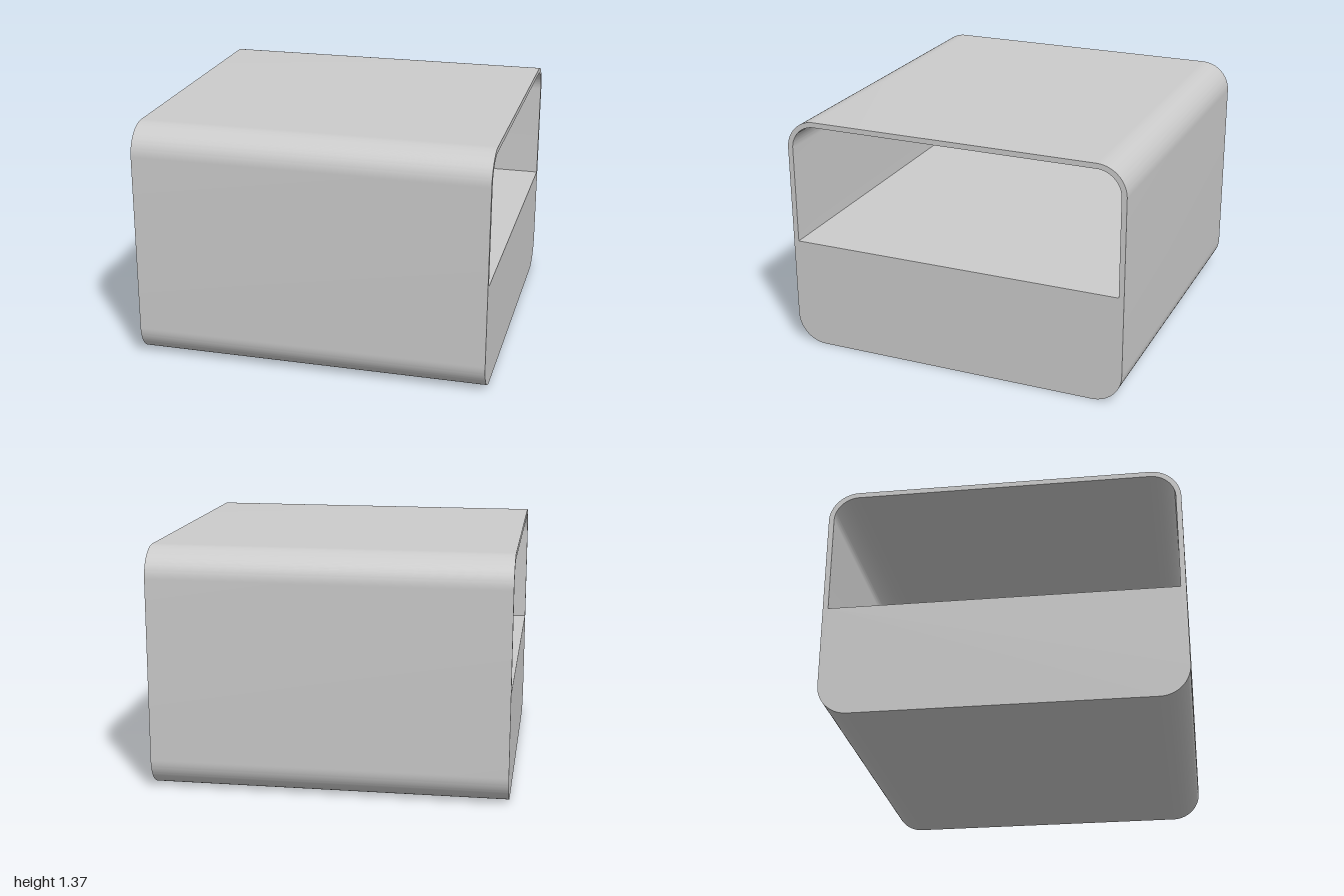
import * as THREE from 'three';
import { toCreasedNormals } from 'three/addons/utils/BufferGeometryUtils.js';

const WIDTH = 2, HALF_DEPTH = 1, HEIGHT = 1.37;
const RADIUS = 0.17, WALL = 0.03, FLOOR = 0.635;

// Rounded body section with a hole that is rounded only at the top
function bodySection() {
  const shape = new THREE.Shape();
  const cx = HALF_DEPTH - RADIUS, top = HEIGHT - RADIUS;
  shape.moveTo(-cx, 0);
  shape.lineTo(cx, 0);
  shape.absarc(cx, RADIUS, RADIUS, -Math.PI / 2, 0);
  shape.absarc(cx, top, RADIUS, 0, Math.PI / 2);
  shape.absarc(-cx, top, RADIUS, Math.PI / 2, Math.PI);
  shape.absarc(-cx, RADIUS, RADIUS, Math.PI, Math.PI * 1.5);

  const hole = new THREE.Path();
  const inner = HALF_DEPTH - WALL, r = RADIUS - WALL;
  hole.moveTo(-inner, FLOOR);
  hole.lineTo(inner, FLOOR);
  hole.absarc(cx, top, r, 0, Math.PI / 2);
  hole.absarc(-cx, top, r, Math.PI / 2, Math.PI);
  hole.closePath();
  shape.holes.push(hole);
  return shape;
}

export function createModel() {
  const group = new THREE.Group();
  group.name = 'openSleeve';

  // Solid base and thin shell, swept from side to side
  const geometry = new THREE.ExtrudeGeometry(bodySection(), {
    depth: WIDTH, bevelEnabled: false, curveSegments: 16,
  });
  geometry.translate(0, 0, -WIDTH / 2);
  geometry.rotateY(Math.PI / 2);

  const body = new THREE.Mesh(
    toCreasedNormals(geometry, Math.PI / 6),
    new THREE.MeshStandardMaterial({ color: 0xcccccc }),
  );
  body.name = 'sleeveBody';
  group.add(body);
  return group;
}
